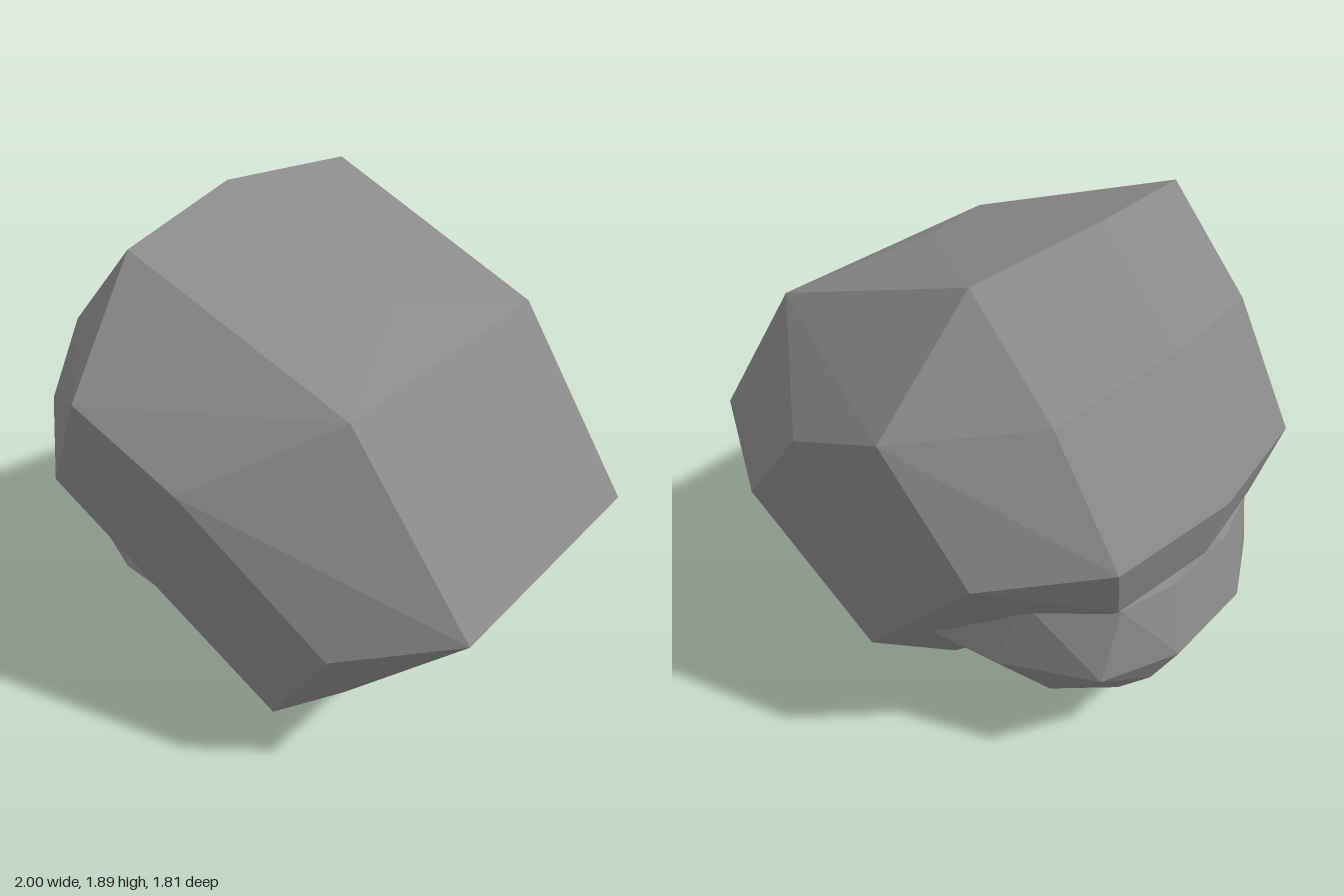
import * as THREE from 'three';
import { ConvexGeometry } from 'three/addons/geometries/ConvexGeometry.js';

// Faceted solid from corner points; each off-centre corner is mirrored in z
function facetedSolid(name, corners, material) {
  const points = [];
  for (const [x, y, z] of corners) {
    points.push(new THREE.Vector3(x, y, z));
    if (z !== 0) points.push(new THREE.Vector3(x, y, -z));
  }
  const mesh = new THREE.Mesh(new ConvexGeometry(points), material);
  mesh.name = name;
  return mesh;
}

export function createModel() {
  const stone = new THREE.MeshStandardMaterial({ color: 0x8a8a8a });
  stone.name = 'grey stone';
  const rock = new THREE.Group();
  rock.name = 'rock';

  // Tilted main block with broad cut faces
  rock.add(facetedSolid('mainBlock', [
    // top ridge and upper rim
    [-0.44, 1.89, 0], [-0.36, 1.84, 0.555], [0.3, 1.64, 0], [0.53, 1.52, 0.52],
    // left slope
    [-0.76, 1.54, 0], [-0.68, 1.48, 0.55], [-1, 1.04, 0], [-0.93, 1.04, 0.53],
    // widest side corners
    [-0.3, 1.44, 0.905], [0.12, 1.26, 0.88], [-0.58, 0.97, 0.82], [0.61, 0.73, 0.73],
    // right edge
    [1, 0.87, 0.5],
    // underside, filled in behind the lower corner
    [-0.94, 0.8, 0], [-0.87, 0.78, 0.42], [-0.36, 0.7, 0.69], [-0.13, 0.46, 0.64],
    [-0.08, 0.05, 0.36], [0.47, 0.27, 0.45], [0.2, 0.06, 0.55], [0.2, 0.03, 0.45],
    [0.11, 0, 0],
  ], stone));

  // Rounded lump growing out of the left overhang
  rock.add(facetedSolid('lowerLump', [
    // upper rim, sunk into the block
    [-0.9, 0.84, 0], [-0.93, 0.76, 0.15], [-0.87, 0.77, 0.4], [-0.6, 0.76, 0.57],
    [-0.2, 0.55, 0.56],
    // widest belt
    [-0.99, 0.5, 0.2], [-0.86, 0.5, 0.48], [-0.5, 0.46, 0.61], [-0.18, 0.38, 0.58],
    // bottom
    [-0.9, 0.34, 0.22], [-0.77, 0.2, 0.22], [-0.62, 0.27, 0.44], [-0.5, 0.07, 0.17],
    [-0.1, 0.035, 0.25],
  ], stone));

  return rock;
}
